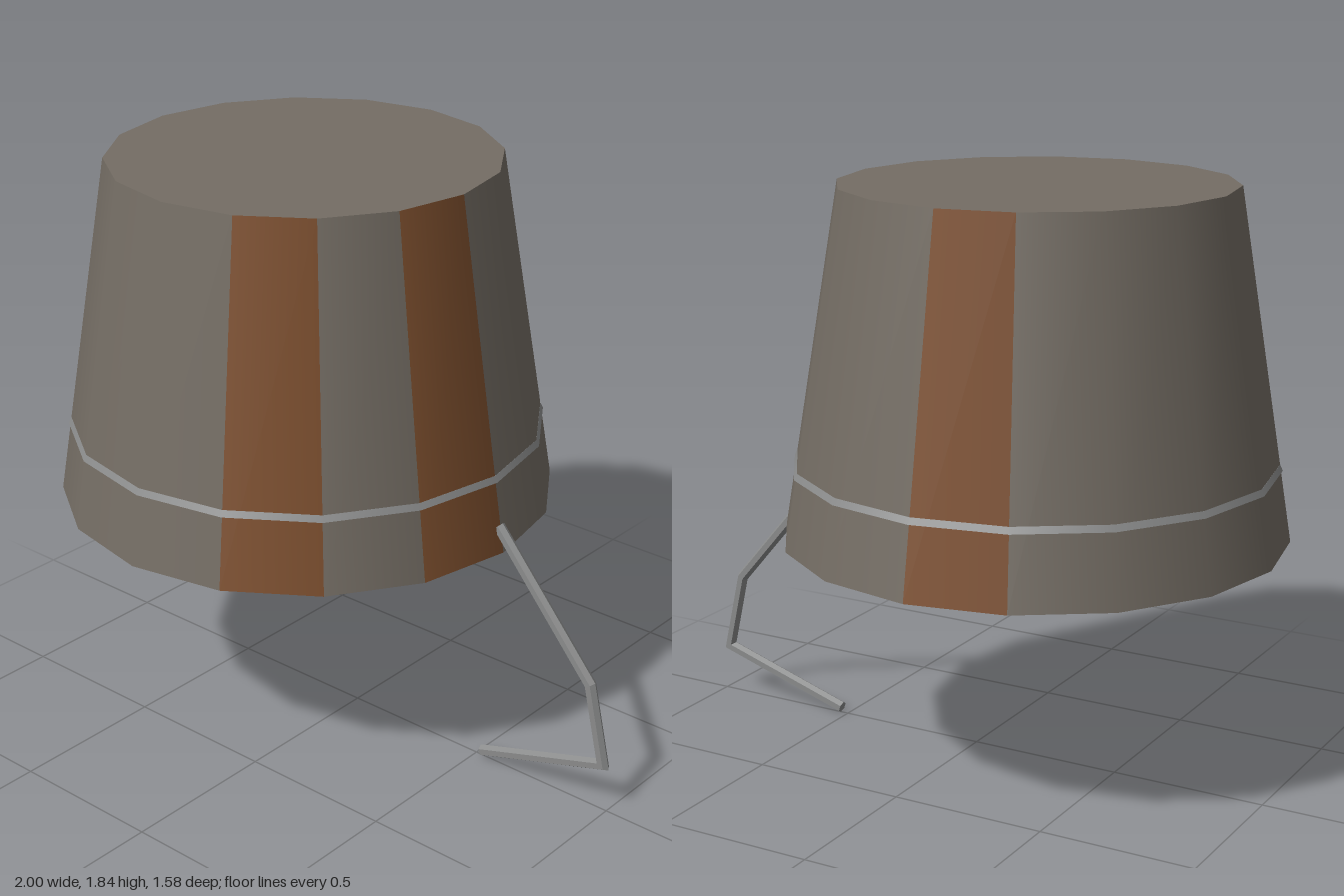
import * as THREE from 'three';

const material = (name, color, extra = {}) => {
  const m = new THREE.MeshStandardMaterial({ color, ...extra });
  m.name = name;
  return m;
};

// Hexagonal bar swept along a path in the xy plane, with mitred corners
function mitredBar(path, radius) {
  const sides = 6, positions = [], indices = [];
  const pts = path.map(([x, y]) => new THREE.Vector2(x, y));
  pts.forEach((p, i) => {
    const before = p.clone().sub(pts[Math.max(i - 1, 0)]).normalize();
    const after = pts[Math.min(i + 1, pts.length - 1)].clone().sub(p).normalize();
    const along = before.clone().add(after).normalize();
    const stretch = 1 / along.dot(i === 0 ? after : before);
    for (let k = 0; k < sides; k++) {
      const a = (k / sides) * Math.PI * 2;
      const r = radius * Math.cos(a) * stretch;
      positions.push(p.x - along.y * r, p.y + along.x * r, radius * Math.sin(a));
    }
  });
  for (let i = 0; i < pts.length - 1; i++) {
    for (let k = 0; k < sides; k++) {
      const a = i * sides + k, b = i * sides + (k + 1) % sides;
      indices.push(a, b, a + sides, b, b + sides, a + sides);
    }
  }
  // End caps
  const last = (pts.length - 1) * sides;
  for (let k = 1; k < sides - 1; k++) {
    indices.push(0, k + 1, k, last, last + k, last + k + 1);
  }
  const indexed = new THREE.BufferGeometry();
  indexed.setAttribute('position', new THREE.Float32BufferAttribute(positions, 3));
  indexed.setIndex(indices);
  const geometry = indexed.toNonIndexed();
  geometry.computeVertexNormals();
  return geometry;
}

export function createModel() {
  const model = new THREE.Group();
  const grey = material('bucket grey', 0x746d64);
  const rust = material('rust brown', 0x7d4f2e);
  const metal = material('handle metal', 0x8a8b8b, { side: THREE.DoubleSide });
  const centreX = -0.21, sides = 16;
  const bottomY = 0.755, topY = 1.85, bottomR = 0.79, topR = 0.61;

  // Upturned bucket: three of the wall panels are rusty
  const bucketGeometry = new THREE.CylinderGeometry(topR, bottomR, topY - bottomY, sides);
  const total = bucketGeometry.index.count;
  const rusty = [1, 3, 8];
  bucketGeometry.clearGroups();
  for (let i = 0; i < sides; i++) {
    bucketGeometry.addGroup(i * 6, 6, rusty.includes(i) ? 1 : 0);
  }
  bucketGeometry.addGroup(sides * 6, total - sides * 6, 0);
  const bucket = new THREE.Mesh(bucketGeometry, [grey, rust]);
  bucket.name = 'bucket';
  bucket.position.set(centreX, (bottomY + topY) / 2, 0);
  model.add(bucket);

  // Thin hoop around the wall
  const hoopGeometry = new THREE.CylinderGeometry(0.75, 0.759, 0.02, sides);
  const hoop = new THREE.Mesh(hoopGeometry, metal);
  hoop.name = 'hoop';
  hoop.position.set(centreX, 0.99, 0);
  model.add(hoop);

  // Bent handle hanging from the rim
  const path = [[0.56, 0.84], [0.918, 0.425], [0.978, 0.166], [0.522, 0.025]];
  const handle = new THREE.Mesh(mitredBar(path, 0.019), metal);
  handle.name = 'handle';
  model.add(handle);

  return model;
}
